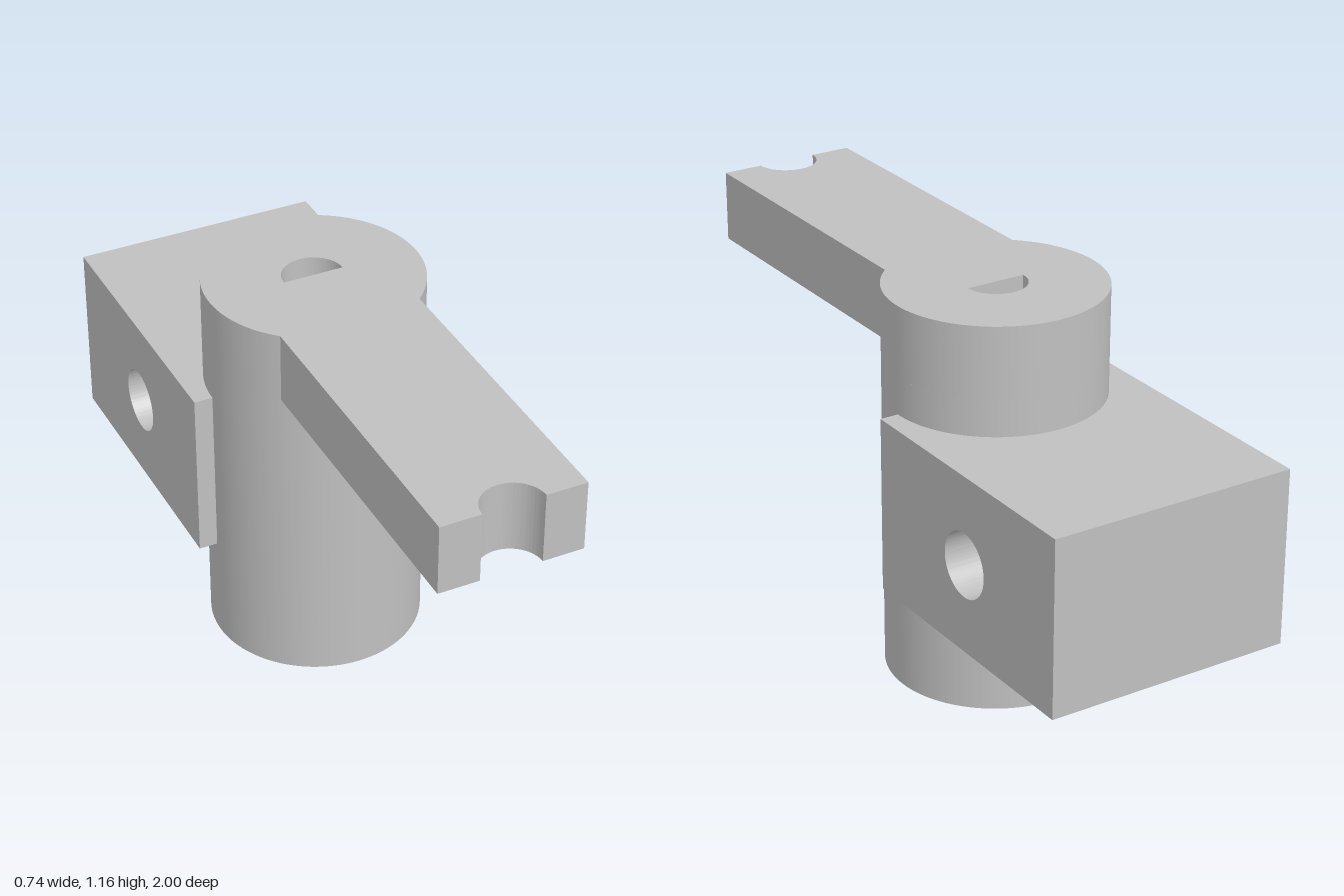
import * as THREE from 'three';
import { toCreasedNormals } from 'three/addons/utils/BufferGeometryUtils.js';

const AXIS_Z = -0.16; // shaft axis
const SHAFT_R = 0.315;
const HOLE_R = 0.09;
const ARM_HALF = 0.21;
const ARM_BOTTOM = 0.95;
const TOP = 1.16;

function extrude(shape, depth) {
  return new THREE.ExtrudeGeometry(shape, { depth, bevelEnabled: false, curveSegments: 64 });
}

// Extrude a plan outline drawn in (x, z) between two heights
function extrudeUp(shape, bottom, top) {
  return extrude(shape, top - bottom).rotateX(Math.PI / 2).translate(0, top, 0);
}

function circle(PathType, x, y, r) {
  const path = new PathType();
  path.absarc(x, y, r, 0, Math.PI * 2, false);
  return path;
}

export function createModel() {
  const grey = new THREE.MeshStandardMaterial({ color: 0xc0c0c0 });
  grey.name = 'plain grey';
  const model = new THREE.Group();
  model.name = 'leverBracket';

  function add(name, geometry) {
    const mesh = new THREE.Mesh(toCreasedNormals(geometry, 0.5), grey);
    mesh.name = name;
    model.add(mesh);
  }

  // Round shaft with a central bore
  const ring = circle(THREE.Shape, 0, AXIS_Z, SHAFT_R);
  ring.holes.push(circle(THREE.Path, 0, AXIS_Z, HOLE_R));
  add('shaft', extrudeUp(ring, 0, ARM_BOTTOM));

  // Shaft head and arm in one outline, notched at the tip; the arm closes the front half of the bore
  const joint = Math.acos(ARM_HALF / SHAFT_R);
  const head = new THREE.Shape();
  head.moveTo(-ARM_HALF, 1);
  head.lineTo(-HOLE_R, 1);
  head.absarc(0, 1, HOLE_R, Math.PI, Math.PI * 2, false);
  head.lineTo(ARM_HALF, 1);
  head.absarc(0, AXIS_Z, SHAFT_R, joint, -Math.PI - joint, true);
  head.closePath();
  const halfBore = new THREE.Path();
  halfBore.absarc(0, AXIS_Z, HOLE_R, Math.PI, Math.PI * 2, false);
  halfBore.closePath();
  head.holes.push(halfBore);
  add('headAndArm', extrudeUp(head, ARM_BOTTOM, TOP));

  // Rear block with a cross hole, drawn in (z, y) and extruded along x
  const side = new THREE.Shape([
    [-1, 0.32], [AXIS_Z, 0.32], [AXIS_Z, 0.84], [-1, 0.84],
  ].map(([z, y]) => new THREE.Vector2(z, y)));
  side.holes.push(circle(THREE.Path, -0.58, 0.58, 0.095));
  add('rearBlock', extrude(side, 0.74).rotateY(-Math.PI / 2).translate(0.37, 0, 0));

  return model;
}
